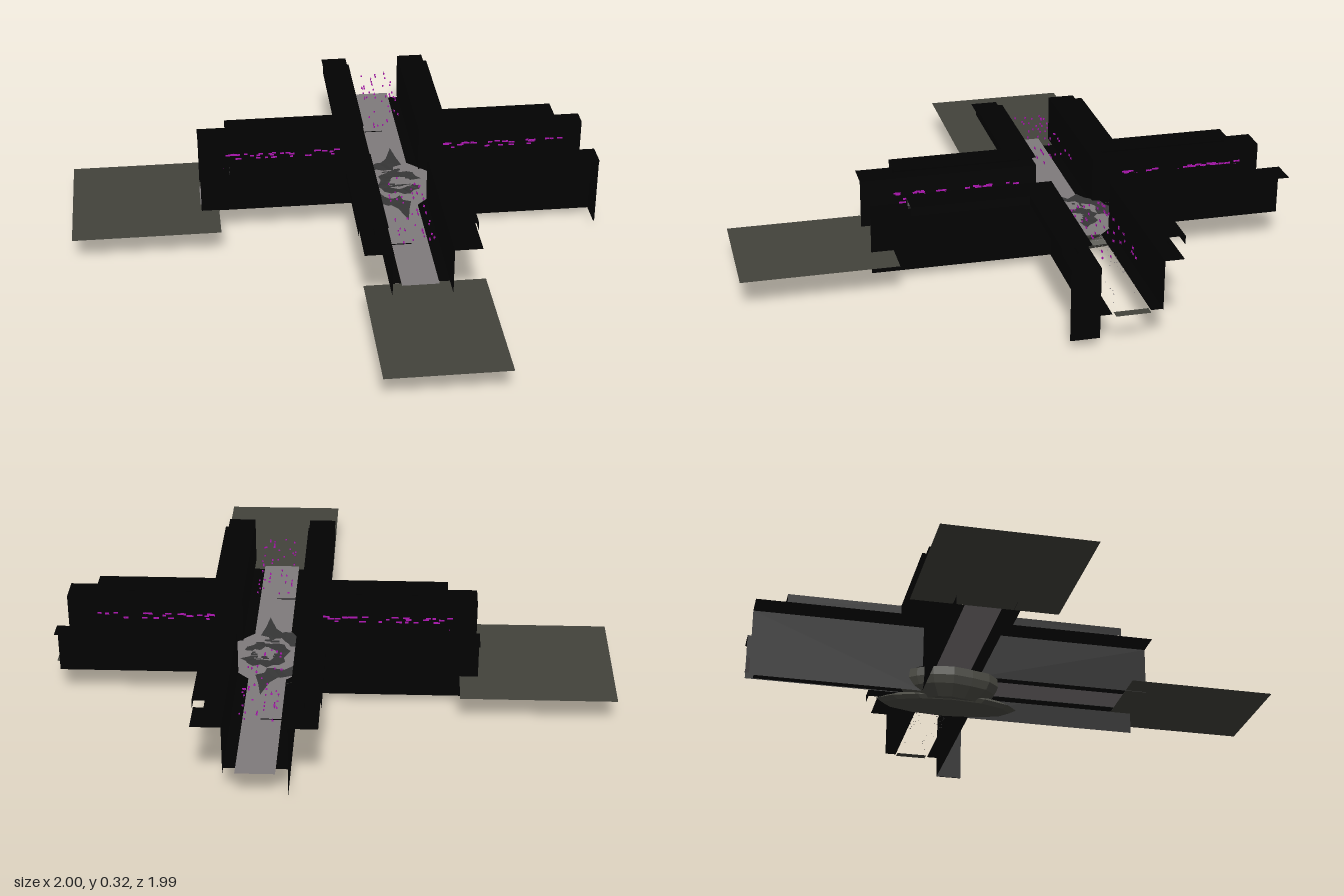
import * as THREE from 'three';

const CX = 0.232, CZ = -0.24; // centre of the crossing
const FLOOR = 0.116;          // walking level
const BASE = 0.03;            // lower edge of the deep walls

const mat = (name, color, extra = {}) => {
  const m = new THREE.MeshStandardMaterial({ color, side: THREE.DoubleSide, ...extra });
  m.name = name;
  return m;
};

function seeded(seed) {
  let s = seed;
  return () => (s = (s * 16807) % 2147483647) / 2147483647;
}

function surface(points) {
  const g = new THREE.BufferGeometry();
  g.setAttribute('position', new THREE.Float32BufferAttribute(points.flat(), 3));
  g.computeVertexNormals();
  return g;
}

const quad = (a, b, c, d) => [a, b, c, a, c, d];

// Sweeps an [offset, height] profile round the inside corner of one quadrant
function cornerSweep(profile, lenX, lenZ, sx, sz) {
  const pts = [];
  const path = ([d, y]) => [[lenX, y, d], [d, y, d], [d, y, lenZ]]
    .map(([x, h, z]) => [x * sx, h, z * sz]);
  for (let i = 0; i < profile.length - 1; i++) {
    const p = path(profile[i]), q = path(profile[i + 1]);
    for (let k = 0; k < 2; k++) {
      const f = quad(p[k], p[k + 1], q[k + 1], q[k]);
      pts.push(...(sx * sz > 0 ? f : f.reverse()));
    }
  }
  return surface(pts);
}

// Flat rectangle facing up
function slab(x0, x1, z0, z1, y) {
  const g = new THREE.PlaneGeometry(x1 - x0, z1 - z0).rotateX(-Math.PI / 2);
  return g.translate((x0 + x1) / 2, y, (z0 + z1) / 2);
}

export function createModel() {
  const black = mat('wallBlack', 0x020202);
  const grey = mat('floorGrey', 0x7f7a7c);
  const olive = mat('groundOlive', 0x42423b);
  const rock = mat('rubbleGrey', 0x4a4a43, { flatShading: true });
  const dark = mat('scorchedGrey', 0x363636);
  const magenta = mat('lightMagenta', 0xb016b4);

  const model = new THREE.Group();
  const crossing = new THREE.Group();
  crossing.name = 'crossing';
  crossing.position.set(CX, 0, CZ);
  model.add(crossing);
  const add = (name, geo, m, parent = crossing) => {
    const mesh = new THREE.Mesh(geo, m);
    mesh.name = name;
    parent.add(mesh);
    return mesh;
  };

  // Cap profile: cove sweeping in to a sharp lip, flat top, outer edge
  const cove = Array.from({ length: 6 }, (_, i) => {
    const a = (i / 5) * Math.PI / 2;
    return [0.108 + 0.05 * Math.cos(a), 0.29 + 0.03 * Math.sin(a)];
  });
  const capProfile = [...cove, [0.213, 0.32], [0.213, 0.288]];

  // Four corner walls with an outward ledge, a raised cap and a floor edge;
  // two opposite walls reach below the floor
  for (const sx of [-1, 1]) for (const sz of [-1, 1]) {
    const ledge = sx > 0 && sz < 0 ? 0.175 : 0.208;
    const bottom = sx === sz ? BASE : FLOOR - 0.006;
    const deep = sx === sz ? bottom : BASE;
    const isDeep = (sx > 0 && sz > 0) || (sx < 0 && sz < 0);
    const wall = [[0.108, isDeep ? deep : bottom], [0.108, 0.29], [ledge, 0.29]];
    add('wall', cornerSweep(wall, 0.748, sz > 0 ? 0.76 : 0.75, sx, sz), black);
    add('wallCap', cornerSweep(capProfile, 0.64, 0.635, sx, sz), black);
    const edge = [[0.066, FLOOR - 0.003], [0.108, FLOOR - 0.003]];
    add('floorEdge', cornerSweep(edge, sx > 0 ? 0.745 : 0.68, sz > 0 ? 0.68 : 0.72, sx, sz), black);
  }
  // Wider ledge on one back wall, closing panel on one side wall
  add('wallLedgeEnd', slab(0.17, 0.21, -0.75, -0.63, 0.29), black);
  add('wallEnd', new THREE.BoxGeometry(0.004, 0.26, 0.1).translate(0.742, 0.16, 0.158), black);

  // Floors: three full arms and an octagon in the middle
  add('floorLeft', slab(-0.75, -0.1, -0.068, 0.068, FLOOR), grey);
  add('floorFront', slab(-0.066, 0.068, 0.1, 0.7, FLOOR), grey);
  add('floorBack', slab(-0.066, 0.068, -0.755, -0.1, FLOOR), grey);
  const oct = new THREE.Shape([[-0.16, -0.068], [-0.068, -0.16], [0.068, -0.16], [0.16, -0.068],
    [0.16, 0.068], [0.068, 0.16], [-0.068, 0.16], [-0.16, 0.068]].map(p => new THREE.Vector2(...p)));
  add('centreFloor', new THREE.ShapeGeometry(oct).rotateX(-Math.PI / 2).translate(0, FLOOR + 0.001, 0), grey);
  add('doorSill', slab(0.735, 0.768, -0.06, 0.06, FLOOR), olive);

  // Seams across the floors
  add('floorSeam', slab(-0.066, 0.005, 0.426, 0.432, FLOOR + 0.0015), black);
  add('floorSeam', slab(-0.066, 0.005, -0.428, -0.422, FLOOR + 0.0015), black);
  add('floorSeam', slab(-0.223, -0.217, 0.04, 0.068, FLOOR + 0.0015), black);

  // Ground plates beyond two of the arms
  add('groundPlateRight', slab(-1, -0.45, -0.5, 0.03, FLOOR - 0.004), olive, model);
  add('groundPlateFront', slab(0.03, 0.47, 0.44, 0.995, FLOOR - 0.004), olive, model);

  // Rubble under the floor: a jagged drum on a long low base
  const rnd = seeded(71);
  const profile = [[0, 0.004], [0.075, 0.008], [0.105, 0.05], [0.115, 0.08], [0.113, 0.114]]
    .map(p => new THREE.Vector2(...p));
  const jagged = (geo, rows, sides, sx, sz, x) => {
    const p = geo.attributes.position;
    const wobble = Array.from({ length: sides }, () => 0.92 + 0.1 * rnd());
    for (let i = 0; i < p.count; i++) {
      const w = wobble[Math.floor(i / rows) % sides];
      p.setXYZ(i, p.getX(i) * w * sx + x, p.getY(i), p.getZ(i) * w * sz);
    }
    geo.computeVertexNormals();
    return geo;
  };
  add('rubbleDrum', jagged(new THREE.LatheGeometry(profile, 16), 5, 16, 1, 1.75, -0.052), rock);
  const baseProfile = [[0, 0], [0.9, 0.004], [1, 0.018], [0.85, 0.034], [0, 0.036]]
    .map(p => new THREE.Vector2(...p));
  add('rubbleBase', jagged(new THREE.LatheGeometry(baseProfile, 12), 5, 12, 0.09, 0.27, -0.032), rock);

  // Ragged scorched rings on the centre floor
  const raggedRing = (r0, r1, from, sweep, n, y, cx) => {
    const pts = [];
    const rim = Array.from({ length: n + 1 }, (_, i) => {
      const a = from + sweep * i / n;
      return [r0 * (0.8 + 0.35 * rnd()), r1 * (0.85 + 0.3 * rnd())]
        .map(r => [cx + r * Math.cos(a), y + 0.006 * rnd(), -r * Math.sin(a)]);
    });
    for (let i = 0; i < n; i++) pts.push(...quad(rim[i][0], rim[i][1], rim[i + 1][1], rim[i + 1][0]));
    return surface(pts);
  };
  add('innerRing', raggedRing(0.045, 0.085, 0.3, 5.6, 20, 0.121, 0.02), dark);
  add('outerCrescent', raggedRing(0.105, 0.165, 1.4, 3.5, 18, 0.121, -0.01), dark);

  // Flat splinters reaching along the front and back arms
  for (const s of [-1, 1]) {
    const outline = [[-0.06, 0.13], [-0.01, 0.19], [0.018, 0.275], [0.03, 0.2], [0.045, 0.14], [0, 0.12]];
    const splinter = new THREE.ShapeGeometry(new THREE.Shape(outline.map(([x, z]) => new THREE.Vector2(x, -s * z))));
    add('splinter', splinter.rotateX(-Math.PI / 2).translate(0, 0.122, 0), dark);
  }

  // Small flakes over the centre and the broken floor arm
  const flakes = (n, place, size) => {
    const pts = [];
    for (let i = 0; i < n; i++) {
      const [x, y, z] = place();
      const a = size * (0.5 + rnd()), b = size * (0.3 + 0.4 * rnd());
      pts.push(...quad([x - a, y, z + b], [x + a, y, z + b], [x + a, y, z - b], [x - a, y, z - b]));
    }
    return surface(pts);
  };
  add('centreFlakes', flakes(24, () => {
    const a = rnd() * Math.PI * 2;
    return [0.01 + 0.055 * Math.cos(a), 0.128 + 0.024 * rnd(), 0.06 * Math.sin(a)];
  }, 0.01), dark);
  add('brokenFloor', flakes(110, () =>
    [0.16 + 0.58 * rnd() * rnd(), FLOOR, (rnd() < 0.5 ? -1 : 1) * (0.066 - 0.06 * rnd() * rnd())], 0.003), grey);

  // Broken arched light strips over each arm: small upright crossed slips
  for (let arm = 0; arm < 4; arm++) {
    const pts = [];
    for (let i = 0; i < 44; i++) {
      const a = Math.PI * (0.06 + 0.11 * Math.floor(rnd() * 9)), t = 0.2 + 0.45 * rnd();
      const z = 0.062 * Math.cos(a), y = 0.243 + 0.024 * Math.sin(a);
      const l = 0.006 + 0.007 * rnd(), w = 0.003, h = 0.0035;
      pts.push(...quad([t - l, y - h, z], [t + l, y - h, z], [t + l, y + h, z], [t - l, y + h, z]));
      pts.push(...quad([t, y - h, z - w], [t, y - h, z + w], [t, y + h, z + w], [t, y + h, z - w]));
    }
    add('lightFragments', surface(pts), magenta).rotation.y = arm * Math.PI / 2;
  }
  return model;
}
